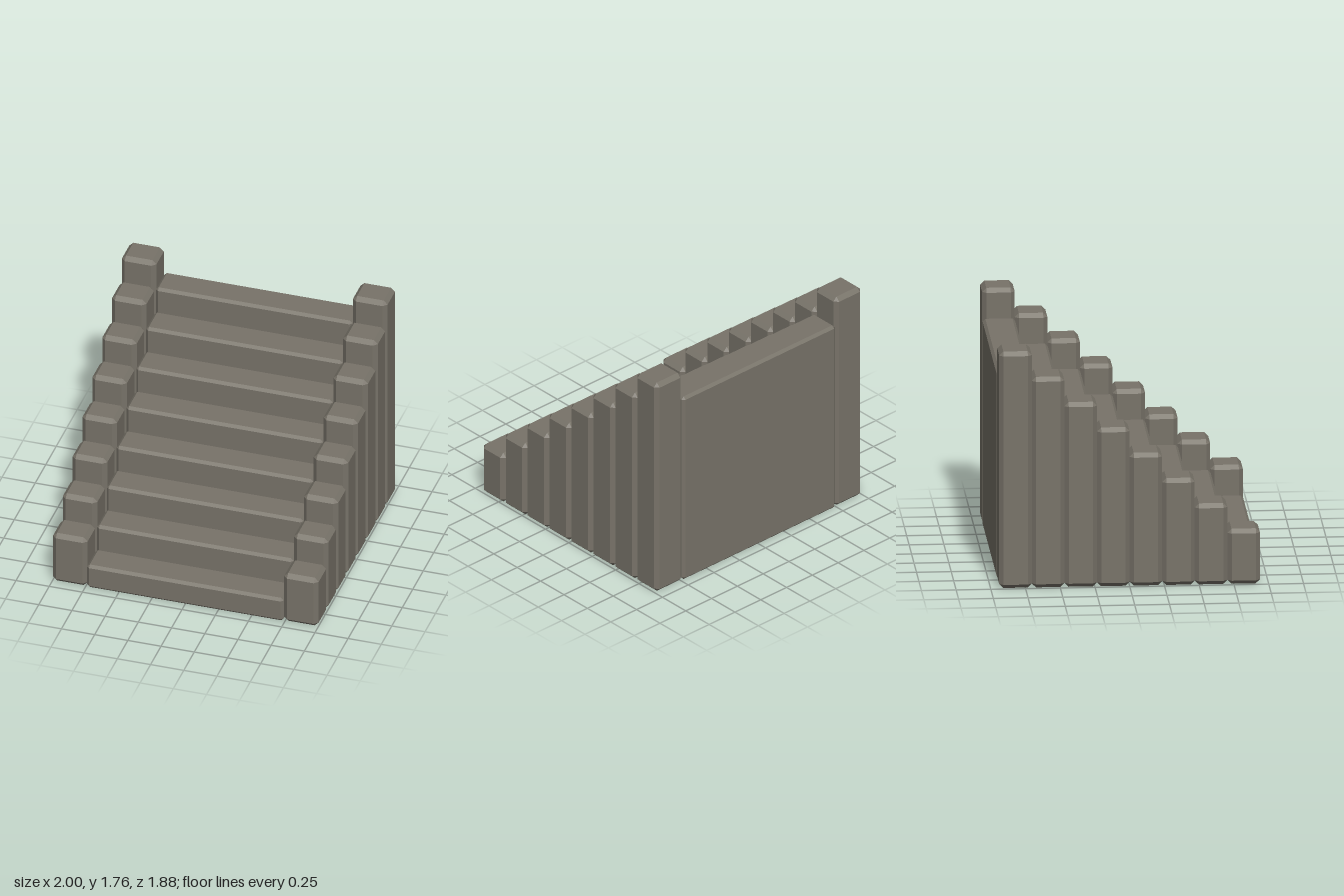
import * as THREE from 'three';
import { ConvexGeometry } from 'three/addons/geometries/ConvexGeometry.js';

// Box with every edge cut at 45 degrees, standing on y = 0
function chamferedBox(w, h, d, c) {
  const points = [];
  for (const sx of [-1, 1]) for (const sy of [-1, 1]) for (const sz of [-1, 1]) {
    for (let axis = 0; axis < 3; axis++) {
      const inset = [c, c, c];
      inset[axis] = 0;
      points.push(new THREE.Vector3(
        sx * (w / 2 - inset[0]),
        h / 2 + sy * (h / 2 - inset[1]),
        sz * (d / 2 - inset[2])
      ));
    }
  }
  return new ConvexGeometry(points);
}

export function createModel() {
  const group = new THREE.Group();
  group.name = 'stairs';
  const stone = new THREE.MeshStandardMaterial({ color: 0x787369 });
  stone.name = 'stone';

  const count = 8, depth = 0.2345, rise = 0.1928;
  const postWidth = 0.26, stepWidth = 1.48;

  function addBlock(name, x, z, w, h, c) {
    const mesh = new THREE.Mesh(chamferedBox(w, h, depth, c), stone);
    mesh.name = name;
    mesh.position.set(x, 0, z);
    group.add(mesh);
  }

  // Each row is a full-height step flanked by two taller posts
  for (let i = 0; i < count; i++) {
    const z = ((count - 1) / 2 - i) * depth;
    addBlock(`step${i + 1}`, 0, z, stepWidth, 0.193 + i * rise, 0.02);
    for (const side of [-1, 1]) {
      addBlock(`${side > 0 ? 'left' : 'right'}Post${i + 1}`,
        side * (1 - postWidth / 2), z, postWidth, 0.41 + i * rise, 0.03);
    }
  }
  return group;
}
